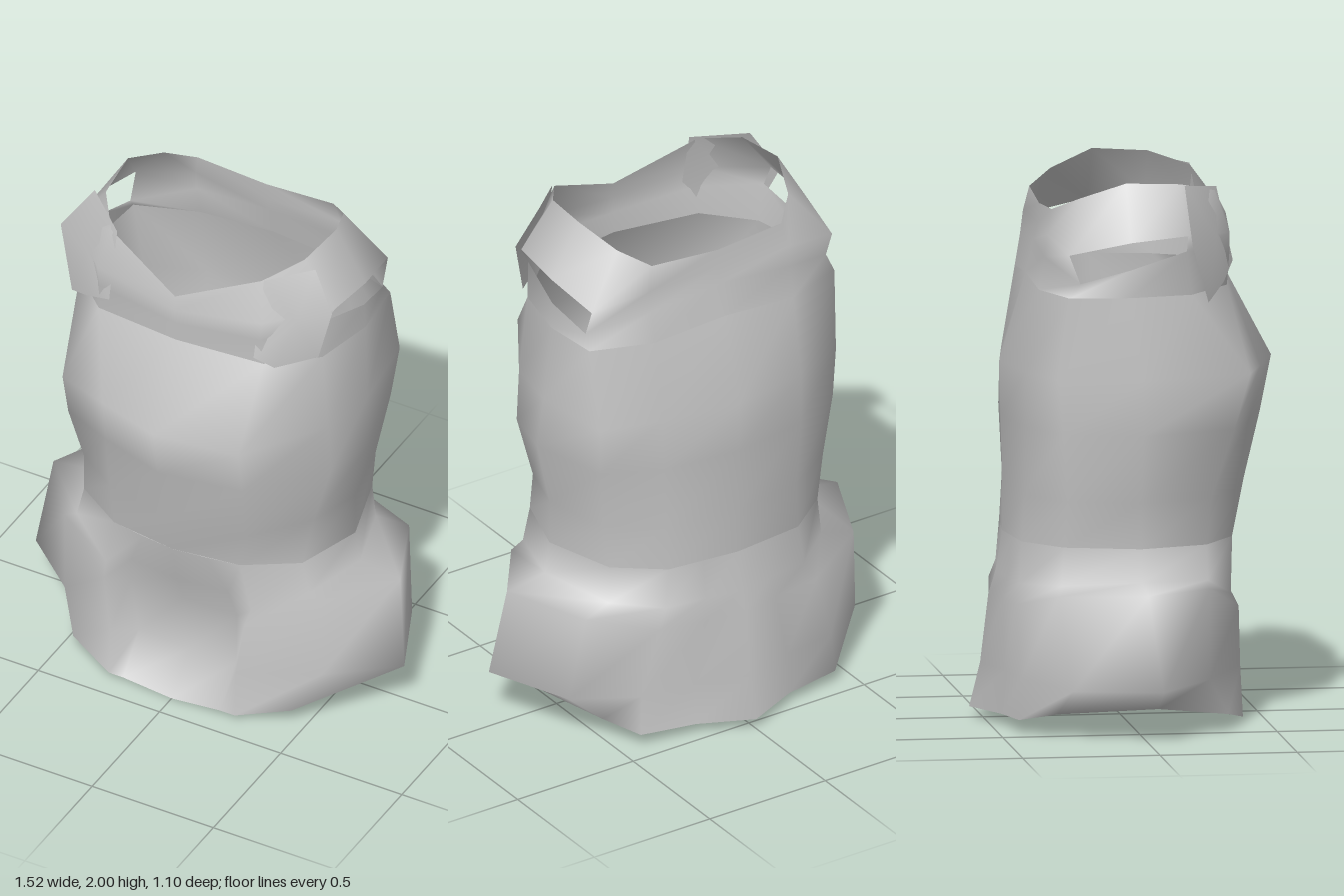
import * as THREE from 'three';

const mirror = ([x, y, z]) => [-x, y, z];
// Completes a half ring (centre front round the +x side to centre back) with its mirror image
const whole = (half) => [...half, ...half.slice(1, -1).reverse().map(mirror)];
// Level ring of [x, z] points at height y
const level = (y, points) => points.map(([x, z]) => [x, y, z]);

// Hem, recessed at the centre front between two flaps, with a ledge at each side
const skirtRings = [
  [[0, 0, 0.41], [0.2, 0.02, 0.41], [0.26, 0.02, 0.41], [0.45, 0.06, 0.33], [0.62, 0.11, 0.05], [0.5, 0.08, -0.3], [0.42, 0.05, -0.43], [0.2, 0.04, -0.46], [0, 0.04, -0.55]],
  [[0, 0.14, 0.28], [0.2, 0.16, 0.29], [0.26, 0.21, 0.4], [0.53, 0.2, 0.25], [0.76, 0.19, 0.05], [0.62, 0.18, -0.26], [0.41, 0.2, -0.42], [0.2, 0.2, -0.45], [0, 0.2, -0.51]],
  [[0, 0.4, 0.32], [0.22, 0.4, 0.32], [0.29, 0.43, 0.39], [0.53, 0.53, 0.25], [0.715, 0.535, 0], [0.58, 0.52, -0.31], [0.34, 0.46, -0.43], [0.15, 0.45, -0.45], [0, 0.45, -0.48]],
  [[0, 0.52, 0.37], [0.2, 0.52, 0.35], [0.3, 0.48, 0.36], [0.48, 0.555, 0.25], [0.55, 0.56, 0], [0.46, 0.54, -0.28], [0.3, 0.53, -0.41], [0.14, 0.53, -0.43], [0, 0.53, -0.455]],
  [[0, 0.68, 0.405], [0.13, 0.68, 0.39], [0.26, 0.68, 0.37], [0.45, 0.68, 0.25], [0.53, 0.68, 0], [0.45, 0.68, -0.27], [0.28, 0.68, -0.4], [0.14, 0.68, -0.415], [0, 0.68, -0.43]],
].map(whole);

// Neckband, from the chest seam to the rim
const yokeRings = [
  [[0, 1.62, 0.38], [0.34, 1.61, 0.34], [0.5, 1.6, 0.19], [0.55, 1.6, -0.04], [0.53, 1.6, -0.26], [0.3, 1.6, -0.34], [0, 1.62, -0.345]],
  [[0, 1.7, 0.385], [0.33, 1.72, 0.35], [0.51, 1.76, 0.17], [0.545, 1.7, -0.04], [0.52, 1.65, -0.22], [0.3, 1.72, -0.32], [0, 1.74, -0.315]],
  [[0, 1.76, 0.39], [0.34, 1.8, 0.35], [0.54, 1.82, 0.17], [0.55, 1.8, -0.04], [0.52, 1.755, -0.26], [0.3, 1.8, -0.31], [0, 1.8, -0.3]],
  [[0, 1.82, 0.385], [0.31, 1.95, 0.3], [0.41, 1.99, 0.16], [0.43, 2, -0.04], [0.37, 1.94, -0.2], [0.28, 1.89, -0.29], [0, 1.87, -0.295]],
].map(whole);

// Torso, fuller at the front of the -x side
const torsoRings = [
  level(0.68, [[0, 0.405], [0.26, 0.37], [0.45, 0.25], [0.53, 0], [0.45, -0.27], [0.28, -0.4], [0, -0.43], [-0.28, -0.4], [-0.45, -0.27], [-0.53, 0], [-0.45, 0.25], [-0.26, 0.37]]),
  level(0.85, [[0, 0.45], [0.3, 0.41], [0.47, 0.2], [0.53, 0], [0.47, -0.26], [0.28, -0.39], [0, -0.43], [-0.28, -0.39], [-0.48, -0.26], [-0.54, 0], [-0.44, 0.27], [-0.27, 0.38]]),
  level(1.1, [[0, 0.51], [0.32, 0.46], [0.54, 0.2], [0.585, 0], [0.51, -0.3], [0.3, -0.4], [0, -0.435], [-0.3, -0.39], [-0.51, -0.28], [-0.59, 0], [-0.46, 0.35], [-0.26, 0.43]]),
  level(1.3, [[0, 0.55], [0.33, 0.51], [0.53, 0.2], [0.57, -0.02], [0.53, -0.33], [0.3, -0.39], [0, -0.44], [-0.3, -0.39], [-0.51, -0.3], [-0.58, 0], [-0.45, 0.41], [-0.25, 0.475]]),
  yokeRings[0],
];

function surface(points, index) {
  const g = new THREE.BufferGeometry();
  g.setAttribute('position', new THREE.Float32BufferAttribute(points.flat(), 3));
  g.setIndex(index);
  g.computeVertexNormals();
  return g;
}

// Joins rings from bottom to top, leaving out faces where skip is true
function loft(rings, skip = () => false) {
  const n = rings[0].length;
  const index = [];
  for (let r = 0; r < rings.length - 1; r++) {
    for (let i = 0; i < n; i++) {
      if (skip(r, i)) continue;
      const a = r * n + i, b = r * n + (i + 1) % n;
      index.push(a, b, b + n, a, b + n, a + n);
    }
  }
  return surface(rings.flat(), index);
}

// Closes an outline around a central point
function fan(centre, outline) {
  const index = [];
  outline.forEach((p, i) => index.push(0, i + 1, (i + 1) % outline.length + 1));
  return surface([centre, ...outline], index);
}

export function createModel() {
  const cloth = new THREE.MeshStandardMaterial({ color: 0xc6c6c6, side: THREE.DoubleSide });
  cloth.name = 'grey cloth';
  const group = new THREE.Group();
  group.name = 'sleevelessTop';
  const add = (name, geometry) => {
    const mesh = new THREE.Mesh(geometry, cloth);
    mesh.name = name;
    group.add(mesh);
  };

  add('flaredHem', loft(skirtRings));
  add('torso', loft(torsoRings));

  // Neckband and shoulder straps with an armhole on each side
  const armhole = [2, 3, 8, 9];
  add('yoke', loft(yokeRings, (r, i) => r === 1 && armhole.includes(i)));

  // Closed underside
  add('underside', fan([0, 0.07, 0], [...skirtRings[0]].reverse()));

  // Folded cloth at the front of each strap
  add('leftStrapFold', fan([0.44, 1.8, 0.28],
    [[0.31, 1.64, 0.36], [0.38, 1.6, 0.33], [0.5, 1.62, 0.22], [0.545, 1.82, 0.2], [0.46, 1.97, 0.17], [0.32, 1.955, 0.3]]));
  add('rightStrapFold', fan([-0.42, 1.8, 0.29],
    [[-0.5, 1.57, 0.25], [-0.4, 1.63, 0.32], [-0.28, 1.69, 0.37], [-0.28, 1.96, 0.31], [-0.45, 1.99, 0.17], [-0.585, 1.79, 0.18]]));
  return group;
}
